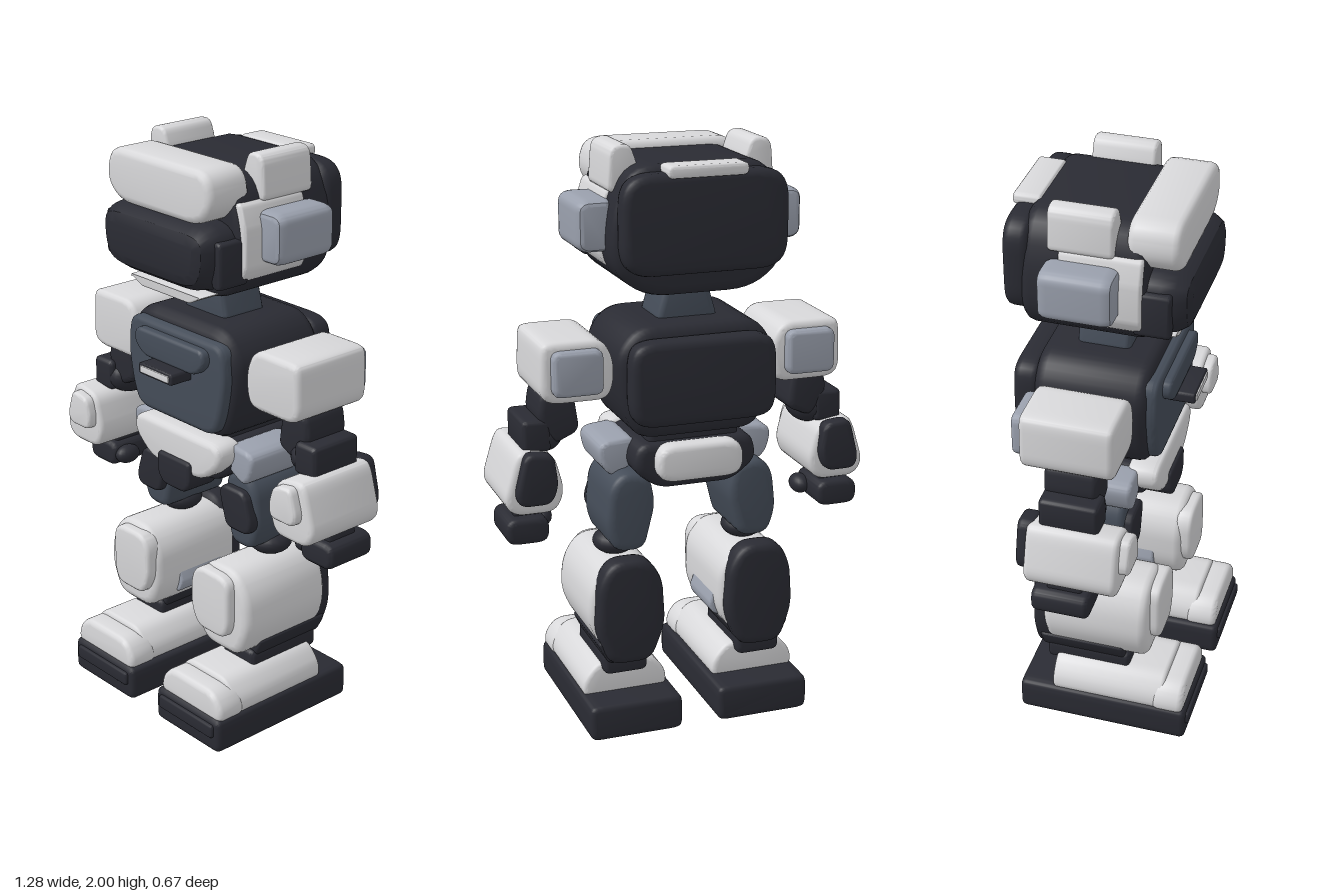
import * as THREE from 'three';
import { toCreasedNormals } from 'three/addons/utils/BufferGeometryUtils.js';

const colour = (name, color) => {
  const m = new THREE.MeshStandardMaterial({ color });
  m.name = name;
  return m;
};

// Closed outline with softened corners
function roundedShape(pts, r) {
  const shape = new THREE.Shape();
  const v = pts.map(([x, y]) => new THREE.Vector2(x, y));
  v.forEach((p, i) => {
    const a = v[(i + v.length - 1) % v.length], b = v[(i + 1) % v.length];
    const toward = q => {
      const d = p.distanceTo(q);
      return p.clone().lerp(q, Math.min(r, d * 0.47) / d);
    };
    const s = toward(a), e = toward(b);
    if (i === 0) shape.moveTo(s.x, s.y); else shape.lineTo(s.x, s.y);
    shape.quadraticCurveTo(p.x, p.y, e.x, e.y);
  });
  shape.closePath();
  return shape;
}

// Corners of a box with cut corners
const rect = (x0, x1, y0, y1, c = 0) => c
  ? [[x0 + c, y0], [x1 - c, y0], [x1, y0 + c], [x1, y1 - c], [x1 - c, y1], [x0 + c, y1], [x0, y1 - c], [x0, y0 + c]]
  : [[x0, y0], [x1, y0], [x1, y1], [x0, y1]];

export function createModel() {
  const root = new THREE.Group();
  root.name = 'robot';
  const white = colour('white shell', 0xd8d8da);
  const dark = colour('charcoal', 0x2a2b33);
  const slate = colour('slate', 0x454d59);
  const grey = colour('blue grey', 0x9aa0ad);

  // Bevelled block: front outline carried from z0 to z1
  function slab(parent, name, mat, pts, z0, z1, bevel = 0.02, r = 0.04, thick = bevel) {
    const geo = new THREE.ExtrudeGeometry(roundedShape(pts, r), {
      depth: z1 - z0 - 2 * thick, bevelEnabled: true, bevelSize: bevel,
      bevelOffset: -bevel, bevelThickness: thick, bevelSegments: 3, curveSegments: 5,
    });
    geo.translate(0, 0, z0 + thick);
    const mesh = new THREE.Mesh(toCreasedNormals(geo, 0.6), mat);
    mesh.name = name;
    parent.add(mesh);
    return mesh;
  }
  function ball(parent, name, mat, x, y, z, rx, ry, rz) {
    const mesh = new THREE.Mesh(new THREE.SphereGeometry(1, 20, 14), mat);
    mesh.scale.set(rx, ry, rz);
    mesh.position.set(x, y, z);
    mesh.name = name;
    parent.add(mesh);
  }
  const group = name => {
    const g = new THREE.Group();
    g.name = name;
    root.add(g);
    return g;
  };

  // Head
  const head = group('head');
  slab(head, 'skull', dark, [[-0.18, 1.52], [0.18, 1.52], [0.295, 1.61], [0.295, 1.78], [0.23, 1.945],
    [-0.23, 1.945], [-0.295, 1.78], [-0.295, 1.61]], -0.265, 0.14, 0.035, 0.08);
  slab(head, 'backPlate', dark, rect(-0.28, 0.28, 1.6, 1.925, 0.05), -0.325, -0.24, 0.025, 0.06);
  slab(head, 'backClip', white, rect(-0.135, 0.135, 1.91, 1.95), -0.333, -0.24, 0.01, 0.02);
  slab(head, 'brow', white, [[-0.2, 1.79], [0.2, 1.79], [0.265, 1.86], [0.24, 1.97], [-0.24, 1.97], [-0.265, 1.86]],
    0.07, 0.24, 0.025, 0.06);
  slab(head, 'visor', dark, [[-0.215, 1.565], [0.215, 1.565], [0.27, 1.65], [0.265, 1.795], [-0.265, 1.795], [-0.27, 1.65]],
    0.04, 0.272, 0.06, 0.1, 0.09);
  slab(head, 'chin', white, [[-0.12, 1.515], [0.12, 1.515], [0.18, 1.545], [-0.18, 1.545]], 0.1, 0.21, 0.006, 0.012);

  // Neck
  const torso = group('torso');
  slab(torso, 'neck', slate, [[-0.11, 1.4], [0.11, 1.4], [0.07, 1.54], [-0.07, 1.54]], -0.14, 0.04, 0.02, 0.03);

  // Torso
  slab(torso, 'chest', dark, [[-0.2, 1.04], [0.2, 1.04], [0.245, 1.12], [0.27, 1.24], [0.27, 1.34], [0.2, 1.42],
    [-0.2, 1.42], [-0.27, 1.34], [-0.27, 1.24], [-0.245, 1.12]], -0.245, 0.14, 0.04, 0.06);
  slab(torso, 'chestPanel', slate, [[-0.19, 1.06], [0.19, 1.06], [0.225, 1.13], [0.25, 1.26], [0.235, 1.385],
    [-0.235, 1.385], [-0.25, 1.26], [-0.225, 1.13]], 0.08, 0.17, 0.02, 0.05);
  slab(torso, 'chestFlap', slate, [[-0.13, 1.265], [0.13, 1.265], [0.18, 1.31], [0.17, 1.36], [-0.17, 1.36], [-0.18, 1.31]],
    0.15, 0.2, 0.012, 0.03);
  slab(torso, 'handle', dark, rect(-0.085, 0.085, 1.23, 1.27), 0.15, 0.255, 0.006, 0.012);
  slab(torso, 'handleStrip', white, rect(-0.072, 0.072, 1.238, 1.262), 0.252, 0.26, 0.002, 0.006);
  slab(torso, 'backpack', dark, rect(-0.25, 0.25, 1.1, 1.385, 0.04), -0.318, -0.23, 0.025, 0.06);

  // Pelvis
  const pelvis = group('pelvis');
  slab(pelvis, 'waist', dark, rect(-0.16, 0.16, 0.98, 1.08, 0.02), -0.2, 0.09, 0.02, 0.03);
  slab(pelvis, 'hipCore', dark, [[-0.13, 0.86], [0.13, 0.86], [0.22, 0.93], [0.2, 1.02], [-0.2, 1.02], [-0.22, 0.93]],
    -0.23, 0.11, 0.025, 0.04);
  slab(pelvis, 'frontShell', white, [[-0.13, 0.88], [0.13, 0.88], [0.225, 0.96], [0.215, 1.03], [-0.215, 1.03], [-0.225, 0.96]],
    0.06, 0.17, 0.02, 0.05);
  slab(pelvis, 'crotchPlate', dark, [[-0.055, 0.815], [0.055, 0.815], [0.085, 0.85], [0.085, 0.93], [-0.085, 0.93], [-0.085, 0.85]],
    0.05, 0.182, 0.012, 0.02);
  slab(pelvis, 'rearPod', white, rect(-0.15, 0.15, 0.895, 1.02, 0.03), -0.28, -0.2, 0.02, 0.04);

  for (const s of [1, -1]) {
    const side = s > 0 ? 'left' : 'right';
    const mir = pts => pts.map(([x, y]) => [x * s, y]);
    const part = (g, name, mat, pts, ...rest) => slab(g, name, mat, mir(pts), ...rest);

    // Head side pieces
    const ear = group(side + 'HeadSide');
    part(ear, 'crest', white, [[0.2, 1.85], [0.285, 1.85], [0.275, 1.98], [0.255, 2.0], [0.205, 2.0], [0.18, 1.93]],
      -0.175, 0.038, 0.012, 0.025);
    part(ear, 'cheek', white, [[0.24, 1.62], [0.275, 1.6], [0.303, 1.65], [0.3, 1.78], [0.275, 1.86], [0.24, 1.86]],
      -0.14, 0.13, 0.01, 0.02);
    part(ear, 'earPod', grey, [[0.27, 1.66], [0.36, 1.66], [0.385, 1.68], [0.385, 1.81], [0.36, 1.83], [0.27, 1.83]],
      -0.18, 0.06, 0.02, 0.02, 0.035);
    part(ear, 'temple', dark, rect(0.24, 0.285, 1.595, 1.75), 0.1, 0.22, 0.01, 0.02);

    // Arm
    const arm = group(side + 'Arm');
    part(arm, 'shoulder', white, [[0.3, 1.18], [0.49, 1.18], [0.525, 1.21], [0.52, 1.37], [0.5, 1.385], [0.315, 1.385],
      [0.275, 1.32], [0.275, 1.23]], -0.205, 0.105, 0.02, 0.04);
    part(arm, 'shoulderBack', grey, rect(0.32, 0.49, 1.21, 1.36), -0.24, -0.18, 0.015, 0.03);
    part(arm, 'upperArm', dark, [[0.39, 1.2], [0.5, 1.2], [0.515, 1.11], [0.46, 1.02], [0.37, 1.06]], -0.13, 0.05, 0.02, 0.03);
    ball(arm, 'elbow', dark, 0.475 * s, 1.045, -0.03, 0.065, 0.065, 0.1);
    part(arm, 'elbowCap', dark, rect(0.47, 0.568, 1.0, 1.11), -0.13, 0.07, 0.015, 0.02);
    part(arm, 'forearm', white, [[0.465, 0.8], [0.61, 0.8], [0.645, 0.85], [0.6, 1.0], [0.575, 1.02], [0.47, 1.0], [0.435, 0.87]],
      -0.165, 0.145, 0.018, 0.04);
    part(arm, 'forearmPlate', white, [[0.475, 0.875], [0.58, 0.875], [0.595, 0.91], [0.565, 1.005], [0.485, 0.99], [0.465, 0.92]],
      0.12, 0.178, 0.012, 0.025);
    part(arm, 'forearmBack', dark, [[0.49, 0.84], [0.595, 0.84], [0.61, 0.88], [0.575, 1.02], [0.48, 1.01], [0.465, 0.9]],
      -0.2, -0.14, 0.015, 0.03);
    part(arm, 'wrist', dark, rect(0.51, 0.595, 0.75, 0.82), -0.1, 0.02, 0.01, 0.02);
    part(arm, 'hand', dark, rect(0.485, 0.632, 0.69, 0.78, 0.02), -0.145, 0.05, 0.018, 0.025);
    ball(arm, 'thumb', dark, 0.475 * s, 0.735, 0, 0.034, 0.034, 0.05);

    // Leg
    const leg = group(side + 'Leg');
    part(leg, 'hipSkirt', grey, [[0.18, 0.93], [0.26, 0.885], [0.295, 0.92], [0.31, 0.985], [0.29, 1.01], [0.18, 1.02]],
      -0.13, 0.1, 0.015, 0.03);
    part(leg, 'thigh', slate, [[0.17, 0.64], [0.275, 0.64], [0.305, 0.73], [0.29, 0.87], [0.24, 0.92], [0.15, 0.9], [0.13, 0.8]],
      -0.2, 0.072, 0.025, 0.04);
    part(leg, 'thighPlate', dark, [[0.175, 0.71], [0.285, 0.71], [0.3, 0.75], [0.265, 0.86], [0.155, 0.86], [0.14, 0.83]],
      0.04, 0.1, 0.012, 0.03);
    ball(leg, 'knee', dark, 0.235 * s, 0.635, -0.055, 0.075, 0.045, 0.075);
    const calf = [[0.16, 0.6], [0.3, 0.6], [0.36, 0.52], [0.372, 0.4], [0.32, 0.285], [0.15, 0.285], [0.1, 0.37], [0.1, 0.52]];
    part(leg, 'shin', white, calf, -0.2, 0.172, 0.03, 0.05);
    part(leg, 'shinPlate', white, [[0.15, 0.355], [0.28, 0.355], [0.305, 0.4], [0.305, 0.56], [0.27, 0.585], [0.15, 0.585],
      [0.115, 0.54], [0.115, 0.42]], 0.14, 0.205, 0.015, 0.035);
    part(leg, 'calfBack', dark, [[0.16, 0.25], [0.31, 0.25], [0.355, 0.38], [0.345, 0.54], [0.3, 0.62], [0.17, 0.62],
      [0.12, 0.54], [0.11, 0.38]], -0.242, -0.15, 0.025, 0.045);
    part(leg, 'calfBase', dark, [[0.17, 0.25], [0.31, 0.25], [0.35, 0.33], [0.13, 0.33]], -0.22, 0.085, 0.012, 0.02);
    part(leg, 'innerShinInsert', grey, [[0.13, 0.33], [0.1, 0.34], [0.085, 0.375], [0.11, 0.44], [0.14, 0.44]],
      -0.13, 0.07, 0.008, 0.015);
    part(leg, 'ankle', dark, rect(0.165, 0.32, 0.2, 0.28), -0.2, 0.1, 0.015, 0.025);
    part(leg, 'footShell', white, [[0.085, 0.11], [0.385, 0.11], [0.385, 0.17], [0.33, 0.235], [0.14, 0.235], [0.085, 0.17]],
      -0.165, 0.24, 0.015, 0.035);
    part(leg, 'toeCap', white, [[0.08, 0.11], [0.39, 0.11], [0.39, 0.165], [0.345, 0.218], [0.125, 0.218], [0.08, 0.165]],
      0.2, 0.312, 0.02, 0.04);
    part(leg, 'sole', dark, rect(0.065, 0.395, 0, 0.125, 0.015), -0.283, 0.322, 0.018, 0.03);
    part(leg, 'toeBumper', dark, rect(0.09, 0.37, 0.055, 0.105), 0.3, 0.333, 0.008, 0.015);
  }
  return root;
}
